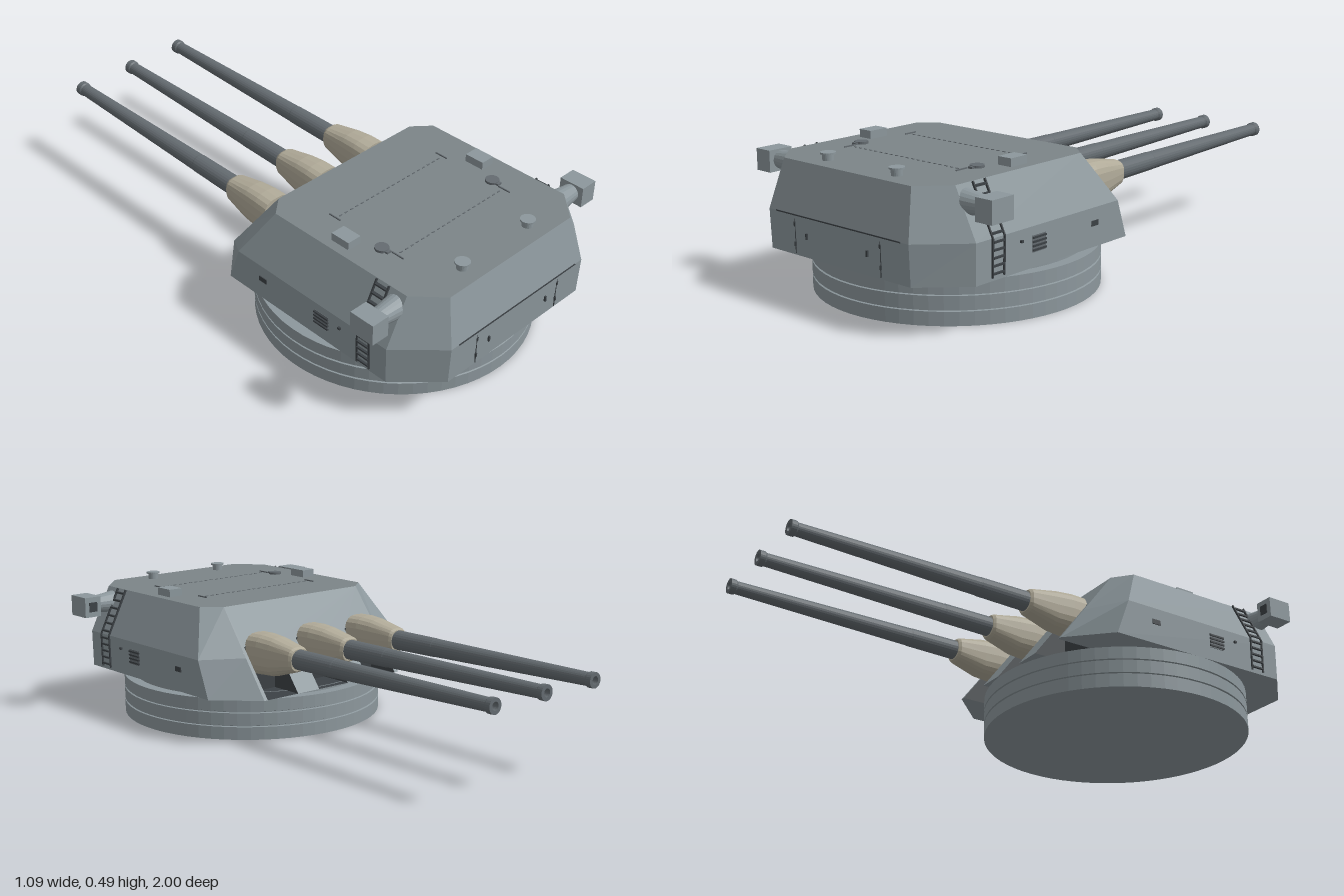
import * as THREE from 'three';

const mat = (color, extra = {}) => new THREE.MeshStandardMaterial({ color, flatShading: true, ...extra });
const GREY = mat(0x8c979c), ROOF = mat(0x7c8588), GUN = mat(0x646b70), TAN = mat(0xb0aa98), DARK = mat(0x3c4145);
const DEPTH = mat(0x3c4145, { side: THREE.BackSide });
const GUN_X = [-0.24, 0, 0.24], PORT = 0.07;
const V = (x, y, z) => new THREE.Vector3(x, y, z);

function add(parent, name, geo, material, x = 0, y = 0, z = 0) {
  const m = new THREE.Mesh(geo, material);
  m.name = name;
  m.position.set(x, y, z);
  parent.add(m);
  return m;
}
const box = (p, name, w, h, d, x, y, z, m = GREY) => add(p, name, new THREE.BoxGeometry(w, h, d), m, x, y, z);
const cyl = (p, name, rt, rb, h, x, y, z, m = GREY, n = 20) => add(p, name, new THREE.CylinderGeometry(rt, rb, h, n), m, x, y, z);

// Skin through rings of points; one side of the ring can be left open
function loft(rings, caps = false, open = -1) {
  const out = [], n = rings[0].length;
  const tri = (...ps) => ps.forEach(p => out.push(p.x, p.y, p.z));
  for (let r = 0; r < rings.length - 1; r++) {
    for (let i = 0; i < n; i++) {
      if (i === open) continue;
      const j = (i + 1) % n, a = rings[r], b = rings[r + 1];
      tri(a[i], a[j], b[j]);
      tri(a[i], b[j], b[i]);
    }
  }
  if (caps) for (let i = 1; i < n - 1; i++) {
    const a = rings[0], b = rings[rings.length - 1];
    tri(a[0], a[i + 1], a[i]);
    tri(b[0], b[i], b[i + 1]);
  }
  const g = new THREE.BufferGeometry();
  g.setAttribute('position', new THREE.Float32BufferAttribute(out, 3));
  g.computeVertexNormals();
  return g;
}

// Eight-sided plan of the gun house at one height
const plan = (y, hx, zBackSide, zFrontSide, cf, zf, cb, zb) => [
  V(hx, y, zBackSide), V(hx, y, zFrontSide), V(cf, y, zf), V(-cf, y, zf),
  V(-hx, y, zFrontSide), V(-hx, y, zBackSide), V(-cb, y, zb), V(cb, y, zb)];

// Notch corners for the three gun ports, running along +x
const notches = (base, depth) => GUN_X.flatMap(x => [
  [x - PORT, base], [x - PORT, base + depth], [x + PORT, base + depth], [x + PORT, base]]);
const shapeOf = pts => new THREE.ShapeGeometry(new THREE.Shape(pts.map(p => new THREE.Vector2(p[0], p[1]))));

function buildHouse(root) {
  const house = new THREE.Group();
  house.name = 'gunHouse';
  root.add(house);
  const low = plan(0.165, 0.465, 0.86, 0.13, 0.325, -0.01, 0.325, 0.995);
  const mid = plan(0.30, 0.468, 0.86, 0.18, 0.3228, 0.0935, 0.325, 1.0);
  const top = plan(0.465, 0.385, 0.86, 0.275, 0.32, 0.22, 0.295, 0.955);
  add(house, 'armourWalls', loft([low, mid, top], false, 2), GREY);
  add(house, 'roof', shapeOf(top.map(p => [p.x, -p.z])).rotateX(-Math.PI / 2), ROOF, 0, 0.465, 0);

  // Underside, notched at the ports
  const under = [...low.slice(4).map(p => [p.x, p.z]), [low[0].x, low[0].z], [low[1].x, low[1].z], [0.325, -0.01],
    ...notches(-0.01, 0.13).reverse(), [-0.325, -0.01]];
  add(house, 'underside', shapeOf(under).rotateX(Math.PI / 2), GREY, 0, 0.165, 0);

  // Sloping front plate with three open ports
  const L = Math.hypot(0.23, 0.30);
  const face = shapeOf([[-0.325, 0], ...notches(0, L * 0.13 / 0.23), [0.325, 0], [0.32, L], [-0.32, L]]);
  face.applyMatrix4(new THREE.Matrix4().makeBasis(V(-1, 0, 0), V(0, 0.30 / L, 0.23 / L), V(0, 0.23 / L, -0.30 / L)));
  add(house, 'frontPlate', face, GREY, 0, 0.165, -0.01);

  // Dark wedge-shaped port recesses, seen from inside
  const wedge = new THREE.Shape([[0.01, 0.165], [-0.12, 0.165], [-0.12, 0.3346]].map(p => new THREE.Vector2(...p)));
  for (const x of GUN_X) {
    const g = new THREE.ExtrudeGeometry(wedge, { depth: 2 * PORT, bevelEnabled: false });
    g.rotateY(Math.PI / 2);
    add(house, 'portRecess', g, DEPTH, x - PORT, 0, 0);
  }
  return house;
}

function buildGun(root, x) {
  const gun = new THREE.Group();
  gun.name = 'gun';
  root.add(gun);
  // Mantlet sections: z, centre y, half width, half height
  const rings = [[0.125, 0.305, 0.064, 0.075], [0.07, 0.308, 0.062, 0.074], [0.01, 0.308, 0.056, 0.070],
    [-0.09, 0.314, 0.044, 0.045], [-0.10, 0.314, 0.038, 0.039]].map(([z, cy, w, h]) =>
    Array.from({ length: 20 }, (_, i) => {
      const a = i / 20 * Math.PI * 2, c = Math.cos(a), s = -Math.sin(a);
      return V(x + w * Math.sign(c) * Math.abs(c) ** 0.7, cy + h * Math.sign(s) * Math.abs(s) ** 0.7, z);
    }));
  add(gun, 'mantlet', loft(rings, true), TAN);
  // Tapered barrel with muzzle ring and bore
  const profile = [[0.036, 0], [0.034, 0.2], [0.033, 0.205], [0.023, 0.885], [0.027, 0.89], [0.027, 0.91],
    [0.014, 0.91], [0.013, 0.86], [0, 0.86]].map(p => new THREE.Vector2(...p));
  const barrel = add(gun, 'barrel', new THREE.LatheGeometry(profile, 24).rotateX(-Math.PI / 2), GUN, x, 0.315, -0.09);
  barrel.rotation.x = 0.0145;
  const bore = add(gun, 'bore', new THREE.CircleGeometry(0.0135, 20).rotateY(Math.PI), DARK, 0, 0, -0.87);
  barrel.add(bore);
}

// Fittings that repeat on both sides
function buildSide(house, s) {
  // Rangefinder arm and head
  const arm = cyl(house, 'rangefinderArm', 0.03, 0.048, 0.14, s * 0.415, 0.41, 0.825);
  arm.rotation.z = -s * Math.PI / 2;
  box(house, 'rangefinderHead', 0.068, 0.076, 0.095, s * 0.511, 0.409, 0.825);
  box(house, 'rangefinderWindow', 0.034, 0.036, 0.004, s * 0.511, 0.409, 0.777, DARK);

  // Ladder following the wall and the slope above it
  const path = [V(s * 0.467, 0.175, 0), V(s * 0.470, 0.30, 0), V(s * 0.389, 0.465, 0)];
  for (let k = 0; k < 2; k++) {
    const a = path[k], b = path[k + 1], len = a.distanceTo(b), steps = k ? 6 : 5;
    for (const z of [0.738, 0.79]) {
      const rail = box(house, 'ladderRail', 0.008, len, 0.005, (a.x + b.x) / 2, (a.y + b.y) / 2, z, DARK);
      rail.rotation.z = -Math.atan2(b.x - a.x, b.y - a.y);
    }
    for (let i = 0; i < steps; i++) {
      const p = a.clone().lerp(b, (i + 0.5) / steps);
      box(house, 'ladderRung', 0.012, 0.006, 0.05, p.x, p.y, 0.764, DARK);
    }
  }

  // Side louvres, hatch and hinge
  box(house, 'louvreFrame', 0.004, 0.055, 0.062, s * 0.466, 0.242, 0.575, GUN);
  for (let i = 0; i < 4; i++) box(house, 'louvreSlat', 0.01, 0.006, 0.064, s * 0.467, 0.222 + i * 0.0135, 0.575, DARK);
  box(house, 'sideHatch', 0.006, 0.018, 0.034, s * 0.467, 0.247, 0.30, DARK);
  box(house, 'sideHinge', 0.012, 0.008, 0.01, s * 0.469, 0.263, 0.66, DARK);

  // Rear door seam, hinges and handle
  box(house, 'doorSeam', 0.002, 0.125, 0.003, s * 0.2, 0.234, 0.998, DARK);
  for (const y of [0.203, 0.27]) box(house, 'doorHinge', 0.006, 0.014, 0.008, s * 0.2, y, 0.998, DARK);
  box(house, 'doorHandle', 0.006, 0.02, 0.01, s * 0.142, 0.237, 0.999, DARK);

  // Roof fittings
  box(house, 'sightHood', 0.055, 0.03, 0.075, s * 0.325, 0.478, 0.54);
  cyl(house, 'roofHatch', 0.024, 0.024, 0.009, s * 0.27, 0.469, 0.645, GUN);
  box(house, 'hatchHinge', 0.018, 0.008, 0.016, s * 0.27, 0.468, 0.67, GUN);
  cyl(house, 'ventStem', 0.019, 0.019, 0.024, s * 0.16, 0.476, 0.885);
  cyl(house, 'ventCap', 0.026, 0.026, 0.006, s * 0.16, 0.489, 0.885);
  for (const z of [0.425, 0.705]) box(house, 'roofBar', 0.004, 0.005, 0.05, s * 0.26, 0.467, z, GUN);
}

export function createModel() {
  const root = new THREE.Group();
  root.name = 'gunTurret';

  // Round base with two grooves and a narrower neck
  const base = [[0, 0], [0.49, 0], [0.49, 0.047], [0.484, 0.049], [0.484, 0.052], [0.49, 0.054], [0.49, 0.098],
    [0.484, 0.1], [0.484, 0.103], [0.49, 0.105], [0.49, 0.15], [0.45, 0.15], [0.45, 0.167]];
  add(root, 'barbette', new THREE.LatheGeometry(base.map(p => new THREE.Vector2(...p)), 64), GREY, 0, 0, 0.465);

  const house = buildHouse(root);
  for (const s of [1, -1]) buildSide(house, s);
  // Bolted roof joints and the rear ledge
  for (const z of [0.43, 0.7]) for (let i = 0; i < 20; i++)
    box(house, 'roofBolt', 0.012, 0.003, 0.004, -0.238 + i * 0.025, 0.4655, z, GUN);
  box(house, 'rearLedge', 0.58, 0.004, 0.004, 0, 0.3, 1.0, DARK);
  for (const x of GUN_X) buildGun(root, x);
  return root;
}
